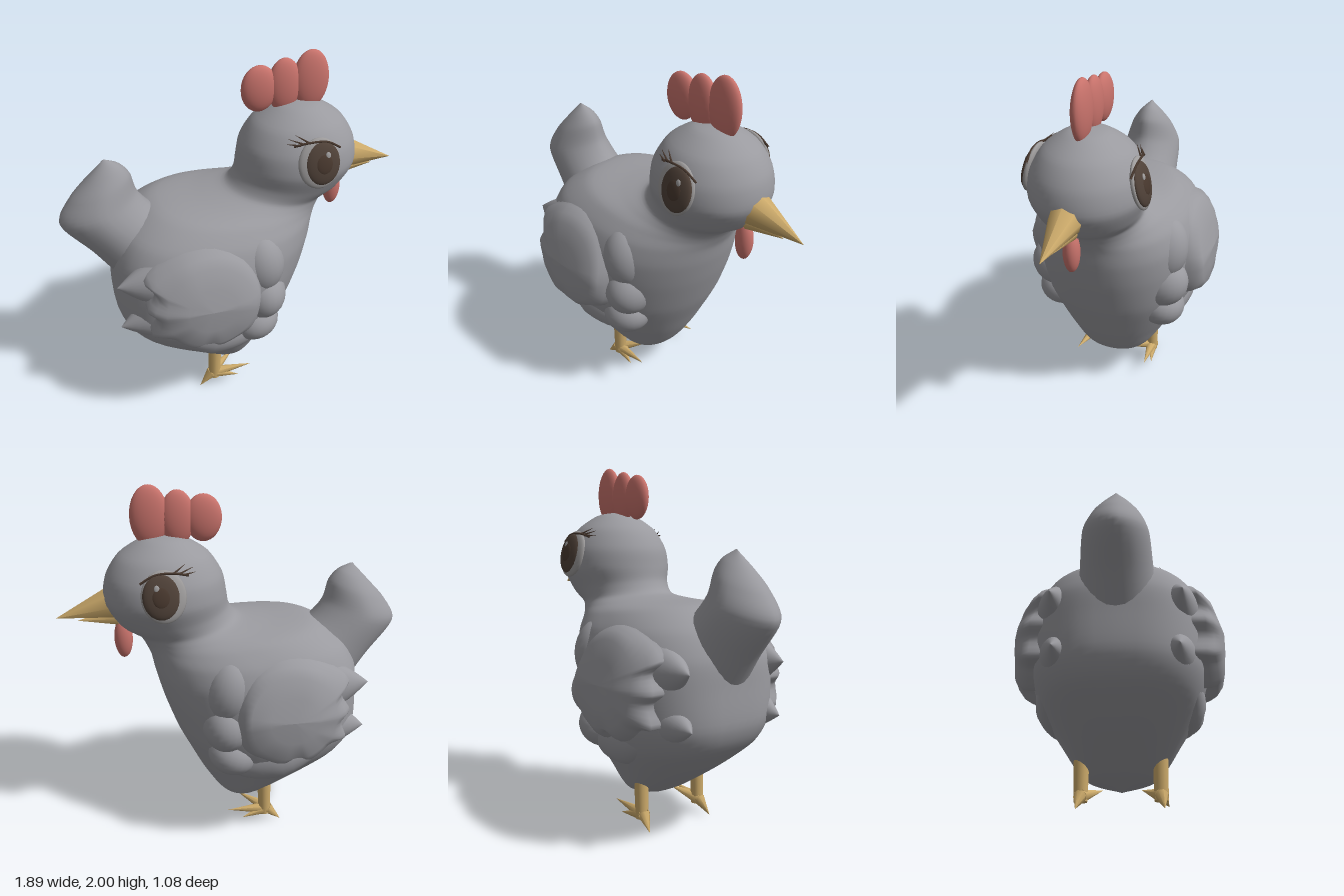
import * as THREE from 'three';

const mat = (name, color) => {
  const m = new THREE.MeshStandardMaterial({ color });
  m.name = name;
  return m;
};

// Skin a stack of closed rings (each an array of Vector3).
function skin(rings) {
  const n = rings[0].length, pos = [], idx = [];
  rings.forEach(r => r.forEach(p => pos.push(p.x, p.y, p.z)));
  for (let i = 0; i < rings.length - 1; i++) {
    for (let j = 0; j < n; j++) {
      const a = i * n + j, b = i * n + (j + 1) % n;
      idx.push(a, a + n, b, b, a + n, b + n);
    }
  }
  const g = new THREE.BufferGeometry();
  g.setAttribute('position', new THREE.Float32BufferAttribute(pos, 3));
  g.setIndex(idx);
  g.computeVertexNormals();
  return g;
}

// Rows: back x, back y, front x, front y, half width, squareness exponent of the rear half.
function loft(rows, steps, sides) {
  const curve = f => new THREE.CatmullRomCurve3(rows.map(f), false, 'catmullrom', 0.4);
  const back = curve(r => new THREE.Vector3(r[0], r[1], 0));
  const front = curve(r => new THREE.Vector3(r[2], r[3], 0));
  const size = curve(r => new THREE.Vector3(r[4], r[5], 0));
  const pow = (v, e) => Math.sign(v) * Math.abs(v) ** e;
  const rings = [];
  for (let i = 0; i <= steps; i++) {
    const t = i / steps, A = back.getPoint(t), B = front.getPoint(t), s = size.getPoint(t);
    const ring = [];
    for (let j = 0; j < sides; j++) {
      const th = j / sides * Math.PI * 2;
      const e = Math.cos(th) > 0 ? Math.max(s.y, 0.98) : s.y;
      const p = A.clone().lerp(B, 0.5 + 0.5 * pow(Math.cos(th), e));
      p.z = Math.max(s.x, 0) * pow(Math.sin(th), e);
      ring.push(p);
    }
    rings.push(ring);
  }
  return skin(rings);
}

function ellipsoid(x, y, z, rx, ry, rz, tilt = 0) {
  return new THREE.SphereGeometry(1, 24, 16).scale(rx, ry, rz).rotateZ(tilt).translate(x, y, z);
}

// Plump feather drawn out to a point at the rear; swing turns the tip outwards.
function plume(x, y, z, rx, ry, rz, tilt, swing) {
  const g = new THREE.SphereGeometry(1, 24, 16).rotateZ(Math.PI / 2), p = g.attributes.position;
  for (let i = 0; i < p.count; i++) {
    const k = Math.sqrt(Math.max(0, Math.min(1, 1 + p.getX(i))));
    p.setXYZ(i, p.getX(i), p.getY(i) * k, p.getZ(i) * k);
  }
  g.scale(rx, ry, rz).rotateZ(tilt).rotateY(swing).translate(x, y, z);
  g.computeVertexNormals();
  return g;
}

// Cone or rod running between two points.
function spike(from, to, r0, r1, sides) {
  const a = new THREE.Vector3(...from), d = new THREE.Vector3(...to).sub(a);
  const g = new THREE.CylinderGeometry(r1, r0, d.length(), sides);
  g.applyQuaternion(new THREE.Quaternion().setFromUnitVectors(new THREE.Vector3(0, 1, 0), d.clone().normalize()));
  return g.translate(a.x + d.x / 2, a.y + d.y / 2, a.z + d.z / 2);
}

function mirrorZ(geo) {
  const g = geo.clone(), ix = g.index, p = g.attributes.position, nr = g.attributes.normal;
  for (let i = 0; i < p.count; i++) {
    p.setZ(i, -p.getZ(i));
    nr.setZ(i, -nr.getZ(i));
  }
  for (let i = 0; i < ix.count; i += 3) {
    const t = ix.getX(i);
    ix.setX(i, ix.getX(i + 1));
    ix.setX(i + 1, t);
  }
  return g;
}

// Wing: scalloped rear edge, domed outwards, front and top easing into the body.
function wingGeometry() {
  const outline = [
    [-0.4, 1.12], [-0.2, 1.15], [-0.05, 1.09], [0.02, 0.95], [0.02, 0.77], [-0.02, 0.66],
    [-0.1, 0.61], [-0.2, 0.57], [-0.28, 0.62], [-0.35, 0.58], [-0.42, 0.62], [-0.47, 0.66],
    [-0.56, 0.68], [-0.53, 0.79], [-0.575, 0.85], [-0.53, 0.94], [-0.575, 1.01],
  ].map(([x, y]) => new THREE.Vector3(x, y, 0));
  const edge = new THREE.CatmullRomCurve3(outline, true, 'centripetal').getPoints(68).slice(0, 68);
  const cx = -0.25, cy = 0.86;
  const profile = [[1.22, 0.27], [1.1, 0.38], [1, 0.46], [0.93, 0.5], [0.8, 0.53], [0.45, 0.54], [0, 0.54]];
  return skin(profile.map(([s, z]) => edge.map(p => {
    const dx = p.x - cx, dy = p.y - cy, a = Math.atan2(dy, dx);
    const ease = THREE.MathUtils.smoothstep(dx + Math.max(0, dy), -0.15, 0.15);
    const k = s > 1 ? 1 + (s - 1) * ease : s;
    const smooth = Math.min(1, Math.max(0, 1 - s) * 4);
    const x = THREE.MathUtils.lerp(dx, 0.29 * Math.cos(a), smooth) * k;
    const y = THREE.MathUtils.lerp(dy, 0.28 * Math.sin(a), smooth) * k;
    const rear = 0.03 * THREE.MathUtils.smoothstep(-x, 0.08, 0.3);
    return new THREE.Vector3(cx + x, cy + y, z - rear - 0.28 * Math.max(0, y));
  })));
}

export function createModel() {
  const group = new THREE.Group();
  const feather = mat('greyFeather', 0x9a9a9f);
  const red = mat('combRed', 0xc9736c);
  const horn = mat('beakYellow', 0xcdab6b);
  const white = mat('eyeGrey', 0x9c9a9a);
  const iris = mat('irisBrown', 0x4f4138);
  const dark = mat('darkBrown', 0x48382e);

  const add = (name, geo, m) => {
    const mesh = new THREE.Mesh(geo, m);
    mesh.name = name;
    group.add(mesh);
  };
  // The bird faces +x, so its right side is +z.
  const pair = (name, geo, m) => {
    add('right' + name, geo, m);
    add('left' + name, mirrorZ(geo), m);
  };

  // Body, neck and head in one smooth skin
  add('bodyAndHead', loft([
    [-0.05, 0.13, -0.05, 0.13, 0, 1],
    [-0.2, 0.2, 0.08, 0.19, 0.19, 0.95],
    [-0.46, 0.37, 0.18, 0.34, 0.31, 0.88],
    [-0.64, 0.52, 0.25, 0.48, 0.4, 0.8],
    [-0.7, 0.65, 0.32, 0.63, 0.45, 0.76],
    [-0.7, 0.85, 0.39, 0.83, 0.465, 0.74],
    [-0.69, 1.0, 0.43, 0.98, 0.455, 0.76],
    [-0.62, 1.14, 0.45, 1.08, 0.41, 0.8],
    [-0.45, 1.245, 0.47, 1.13, 0.34, 0.86],
    [-0.2, 1.265, 0.49, 1.17, 0.28, 0.95],
    [-0.04, 1.285, 0.52, 1.21, 0.25, 1],
    [0.015, 1.35, 0.61, 1.27, 0.265, 1],
    [0.03, 1.43, 0.685, 1.4, 0.3, 1],
    [0.05, 1.53, 0.67, 1.53, 0.285, 1],
    [0.12, 1.64, 0.6, 1.64, 0.22, 1],
    [0.245, 1.72, 0.475, 1.72, 0.105, 1],
    [0.36, 1.74, 0.36, 1.74, 0, 1],
  ], 80, 48), feather);

  // Upturned tail
  add('tail', loft([
    [-0.62, 0.75, -0.2, 1.08, 0.22, 1],
    [-0.79, 1.0, -0.43, 1.22, 0.185, 1.05],
    [-0.94, 1.19, -0.52, 1.33, 0.165, 1.15],
    [-0.88, 1.32, -0.55, 1.44, 0.12, 1.1],
    [-0.78, 1.43, -0.6, 1.5, 0.065, 1],
    [-0.68, 1.535, -0.67, 1.535, 0, 1],
  ], 30, 28), feather);

  pair('Wing', wingGeometry(), feather);

  // Shoulder lobes in front of the wing
  [
    [0.06, 0.97, 0.31, 0.14, 0.19, 0.145, 0.1],
    [0.08, 0.76, 0.32, 0.13, 0.15, 0.15, 0],
    [0.04, 0.57, 0.31, 0.14, 0.12, 0.135, 0.3],
  ].forEach((t, i) => pair('ShoulderLobe' + (i + 1), ellipsoid(...t), feather));

  // Pointed feathers under the wing and over the rump
  [
    [-0.22, 0.55, 0.33, 0.3, 0.14, 0.11, -0.2, 0.1],
    [-0.43, 0.94, 0.29, 0.28, 0.18, 0.14, -0.05, 0.1],
    [-0.42, 0.7, 0.27, 0.29, 0.18, 0.15, 0.1, 0.1],
  ].forEach((t, i) => pair('Feather' + (i + 1), plume(...t), feather));

  // Comb and wattle
  [[0.145, 1.82, 0.098, 0.125], [0.28, 1.825, 0.09, 0.145], [0.425, 1.84, 0.1, 0.16]].forEach(([x, y, rx, ry], i) =>
    add('combLobe' + (i + 1), ellipsoid(x, y, 0, rx, ry, 0.043), red));
  add('wattle', ellipsoid(0.595, 1.175, 0, 0.05, 0.115, 0.043), red);

  // Beak
  add('upperBeak', spike([0.64, 1.385, 0], [0.945, 1.31, 0], 0.092, 0, 8), horn);
  add('lowerBeak', spike([0.62, 1.305, 0], [0.83, 1.29, 0], 0.052, 0, 8), horn);

  // Legs and toes
  pair('Leg', spike([-0.17, 0.06, 0.2], [-0.165, 0.28, 0.2], 0.035, 0.04, 12), horn);
  [[-0.265, 0.005, 0.215], [0.055, 0.11, 0.22], [-0.02, 0.15, 0.1], [-0.03, 0.06, 0.24]].forEach((tip, i) =>
    pair('Toe' + (i + 1), spike([-0.185, 0.085, 0.2], tip, 0.036, 0, 8), horn));

  // Eyes, laid on the side of the head and tipped slightly upwards
  const onHead = g => g.rotateX(-0.24).translate(0.385, 1.5, 0.282);
  pair('EyeBall', onHead(ellipsoid(0, 0, 0, 0.115, 0.135, 0.03)), white);
  pair('Iris', onHead(ellipsoid(0.012, 0, 0.012, 0.096, 0.115, 0.028)), iris);
  pair('Pupil', onHead(ellipsoid(0.015, 0, 0.032, 0.047, 0.056, 0.012)), dark);
  pair('EyeGlint', onHead(ellipsoid(0.035, 0.045, 0.036, 0.014, 0.018, 0.006)), white);

  // Upper lid line and lashes
  const lid = new THREE.CatmullRomCurve3([
    [-0.13, 0.1, -0.012], [-0.06, 0.115, 0.012], [0.04, 0.11, 0.015], [0.115, 0.07, 0.002],
  ].map(p => new THREE.Vector3(...p)));
  pair('LidLine', onHead(new THREE.TubeGeometry(lid, 16, 0.006, 6)), dark);
  [[-0.1, 0.105, -0.165, 0.115], [-0.08, 0.11, -0.155, 0.14], [-0.055, 0.115, -0.115, 0.155]].forEach(([x, y, u, v], i) =>
    pair('Lash' + (i + 1), onHead(spike([x, y, 0.006], [u, v, -0.025], 0.006, 0.001, 6)), dark));

  return group;
}
